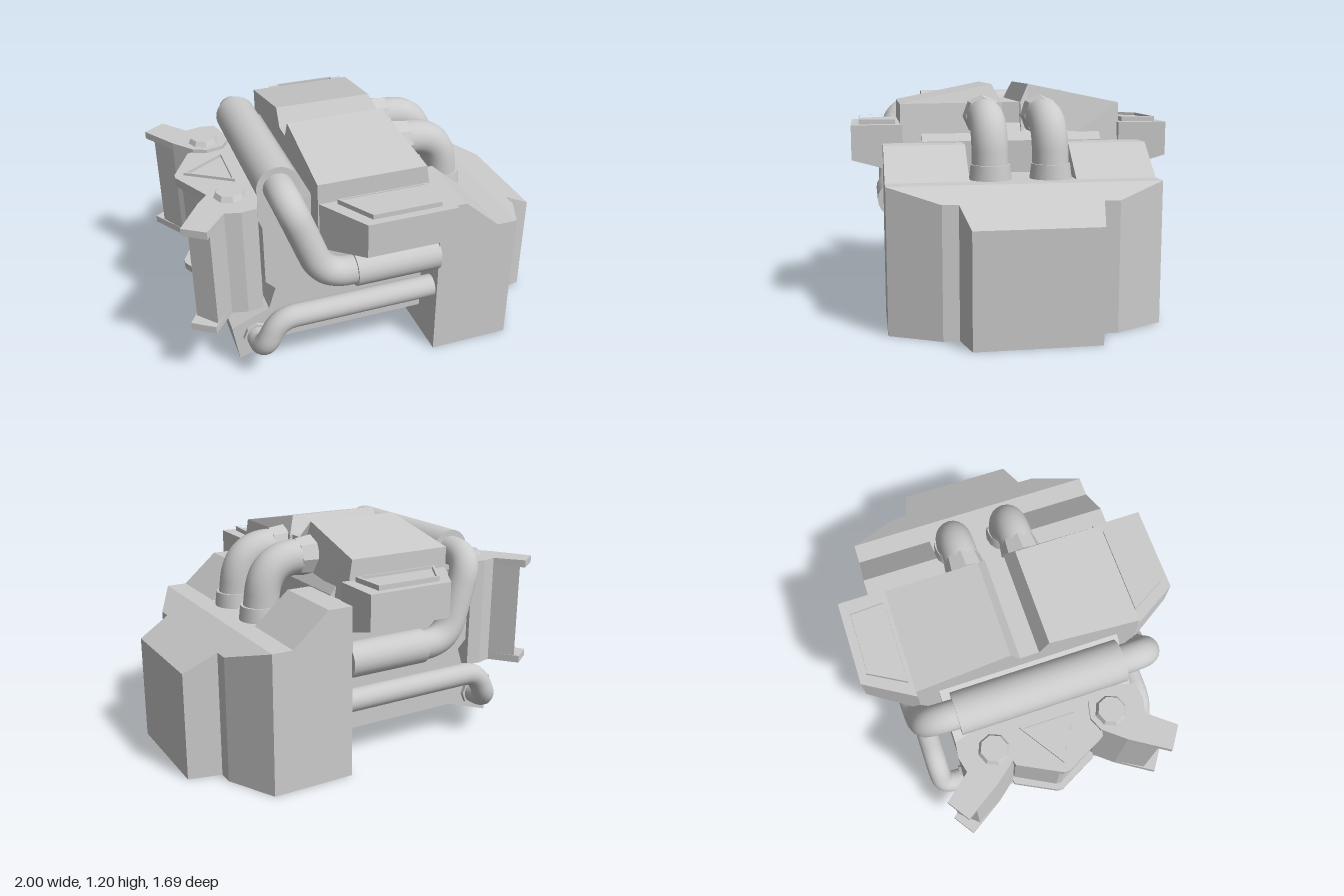
import * as THREE from 'three';

const mat = new THREE.MeshStandardMaterial({ color: 0xcccccc });
const V = (p) => new THREE.Vector3(...p);

export function createModel() {
  const model = new THREE.Group();

  const add = (name, geo) => {
    const m = new THREE.Mesh(geo, mat);
    m.name = name;
    model.add(m);
  };
  const polygon = (pts) => new THREE.Shape(pts.map(([a, b]) => new THREE.Vector2(a, b)));
  const extrude = (shape, depth) => new THREE.ExtrudeGeometry(shape, { depth, bevelEnabled: false });

  // Move vertices by a rule, then refresh the flat normals
  const reshape = (geo, rule) => {
    const p = geo.attributes.position, v = new THREE.Vector3();
    for (let i = 0; i < p.count; i++) {
      v.fromBufferAttribute(p, i);
      rule(v);
      p.setXYZ(i, v.x, v.y, v.z);
    }
    geo.computeVertexNormals();
    return geo;
  };

  // Prism from an x-z plan, between heights y0 and y1; hole shrinks the plan towards its middle
  const planPrism = (pts, y0, y1, hole = 0) => {
    const flat = pts.map(([x, z]) => [x, -z]);
    const shape = polygon(flat);
    if (hole) {
      const n = flat.length;
      const cx = flat.reduce((s, p) => s + p[0], 0) / n, cy = flat.reduce((s, p) => s + p[1], 0) / n;
      shape.holes.push(polygon(flat.map(([x, y]) => [cx + (x - cx) * hole, cy + (y - cy) * hole])));
    }
    return extrude(shape, y1 - y0).rotateX(-Math.PI / 2).translate(0, y0, 0);
  };
  // Prism from an x-y side profile, between z0 and z1
  const sidePrism = (pts, z0, z1) => extrude(polygon(pts), z1 - z0).translate(0, 0, z0);
  // Prism from a z-y end profile, between x0 and x1
  const endPrism = (pts, x0, x1) =>
    extrude(polygon(pts.map(([z, y]) => [-z, y])), x1 - x0).rotateY(Math.PI / 2).translate(x0, 0, 0);

  // Pipe through points with rounded corners
  const pipe = (name, pts, r, bend) => {
    const p = pts.map(V), path = new THREE.CurvePath();
    let from = p[0];
    for (let i = 1; i < p.length - 1; i++) {
      const a = p[i].clone().add(p[i - 1].clone().sub(p[i]).setLength(bend));
      const b = p[i].clone().add(p[i + 1].clone().sub(p[i]).setLength(bend));
      path.add(new THREE.LineCurve3(from, a));
      path.add(new THREE.QuadraticBezierCurve3(a, p[i], b));
      from = b;
    }
    path.add(new THREE.LineCurve3(from, p[p.length - 1]));
    add(name, new THREE.TubeGeometry(path, 64, r, 20));
  };
  // Straight cylinder along an axis, centred at a point; faceted when it has few sides
  const rod = (name, axis, c, r, len, sides = 20, rEnd = r) => {
    let g = new THREE.CylinderGeometry(rEnd, r, len, sides);
    if (axis === 'x') g.rotateZ(-Math.PI / 2);
    if (axis === 'z') g.rotateX(Math.PI / 2);
    if (sides < 10) {
      g = g.toNonIndexed();
      g.computeVertexNormals();
    }
    add(name, g.translate(...c));
  };

  // Rear housing with tapered, sloping nose
  add('rearHousing', planPrism([[0.265, -0.685], [0.7, -0.685], [0.7, 0.685], [0.265, 0.685]], 0, 0.73));
  const nose = [[0.7, 0.685], [0.83, 0.43], [0.83, 0.35], [1, 0.31]];
  const noseBack = nose.map(([x, z]) => [x, -z]).reverse();
  add('rearNose', reshape(planPrism([...nose, ...noseBack], 0, 0.73), (v) => {
    if (v.y > 0.5) v.y = 0.73 - (v.x - 0.7) * 0.55;
  }));

  // Engine block with oil pan
  add('engineBlock', sidePrism([[0.27, 0.15], [0.27, 0.9], [0.2, 0.99], [-0.35, 0.99], [-0.49, 0.91],
    [-0.6, 0.84], [-0.6, 0.52], [-0.55, 0.47], [-0.59, 0.35], [-0.79, 0.27], [-0.76, 0.065],
    [-0.5, 0.15]], -0.48, 0.48));
  add('valleyCover', new THREE.BoxGeometry(0.55, 0.2, 0.22).translate(-0.075, 1, 0));

  // Front cover with top and bottom plates
  const cover = [[-0.93, 0.015], [-0.82, 0.23], [-0.58, 0.3], [-0.58, -0.3], [-0.82, -0.23], [-0.93, -0.015]];
  const coverInset = cover.map(([x, z]) => [Math.min(x + 0.035, -0.58), z * 0.96]);
  add('frontCoverCore', planPrism(coverInset, 0.4, 0.9));
  add('frontCoverTop', planPrism(cover, 0.89, 0.94));
  add('frontCoverBottom', planPrism(cover, 0.37, 0.41));
  add('triangleFrame', planPrism([[-0.885, 0], [-0.65, 0.155], [-0.65, -0.155]], 0.93, 0.955, 0.88));

  for (const s of [1, -1]) {
    const mir = (pts) => pts.map(([x, z]) => [x, z * s]);
    const span = (a, b) => (s > 0 ? [a, b] : [-b, -a]);

    // Raised shoulder of the rear housing
    add('housingShoulder', sidePrism([[0.265, 0.7], [0.265, 0.895], [0.4, 0.895], [0.59, 0.73], [0.59, 0.7]],
      ...span(0.27, 0.685)));

    // Cylinder head cover, rear end chamfered
    const head = [[0.05, 1.1], [0.1, 1.195], [0.59, 1.095], [0.59, 0.735], [0.05, 0.735]];
    add('headCover', reshape(endPrism(head.map(([z, y]) => [z * s, y]), -0.35, 0.27), (v) => {
      if (v.x > 0) v.x = v.y > 1.15 ? 0.17 : v.y > 1.05 ? 0.215 : 0.27;
    }));
    // Side ledge with sloping underside
    add('headLedge', reshape(planPrism(mir([[-0.35, 0.58], [-0.19, 0.845], [0.27, 0.845], [0.27, 0.58]]), 0.735, 0.99),
      (v) => { if (v.y < 0.8 && Math.abs(v.z) > 0.8) v.y = 0.81; }));
    const panel = mir([[-0.26, 0.615], [0.21, 0.615], [0.2, 0.805], [-0.15, 0.805]]);
    add('ledgePanelFrame', planPrism(panel, 0.98, 1.015, 0.92));
    add('ledgePanel', planPrism(panel, 0.98, 1.0));

    // Front wing with overhanging end plates
    const hub = [[-0.78, 0.47], [-0.7, 0.49], [-0.62, 0.48], [-0.59, 0.36], [-0.59, 0.28], [-0.63, 0.22],
      [-0.72, 0.2], [-0.79, 0.23], [-0.88, 0.34]];
    add('wingCore', planPrism(mir([[-0.96, 0.48], [-0.875, 0.58], ...hub]), 0.38, 0.94));
    const wing = mir([[-1, 0.53], [-0.89, 0.605], ...hub]);
    add('wingTopPlate', planPrism(wing, 0.92, 0.96));
    add('wingBottomPlate', planPrism(wing, 0.365, 0.405));
    rod('wingBoltTop', 'y', [-0.715, 0.97, 0.31 * s], 0.085, 0.035, 8, 0.068);
    rod('wingBoltBottom', 'y', [-0.715, 0.355, 0.31 * s], 0.068, 0.035, 8, 0.085);

    // Upper side pipe and its sleeve
    pipe('upperPipe', [[-0.5, 1.03, 0.38 * s], [-0.5, 1.03, 0.59 * s], [-0.34, 0.6, 0.625 * s],
      [-0.1, 0.6, 0.625 * s]], 0.077, 0.13);
    rod('upperPipeSleeve', 'x', [0.045, 0.6, 0.625 * s], 0.09, 0.45);

    // Lower side pipe with flange
    pipe('lowerPipe', [[0.3, 0.375, 0.61 * s], [-0.57, 0.375, 0.61 * s], [-0.66, 0.2, 0.61 * s],
      [-0.66, 0.2, 0.46 * s]], 0.06, 0.085);
    rod('lowerPipeFlange', 'z', [-0.66, 0.2, 0.485 * s], 0.075, 0.03, 8);

    // Elbow pipe with collars
    pipe('elbow', [[0.2, 1.03, 0.155 * s], [0.47, 1.03, 0.155 * s], [0.51, 0.7, 0.155 * s]], 0.093, 0.17);
    rod('elbowUpperCollar', 'x', [0.25, 1.03, 0.155 * s], 0.11, 0.09, 8, 0.098);
    rod('elbowLowerCollar', 'y', [0.505, 0.765, 0.155 * s], 0.11, 0.08, 16, 0.1);
  }

  // Cross pipe over the front
  rod('crossPipe', 'z', [-0.5, 1.03, 0], 0.11, 0.87, 24);

  return model;
}
